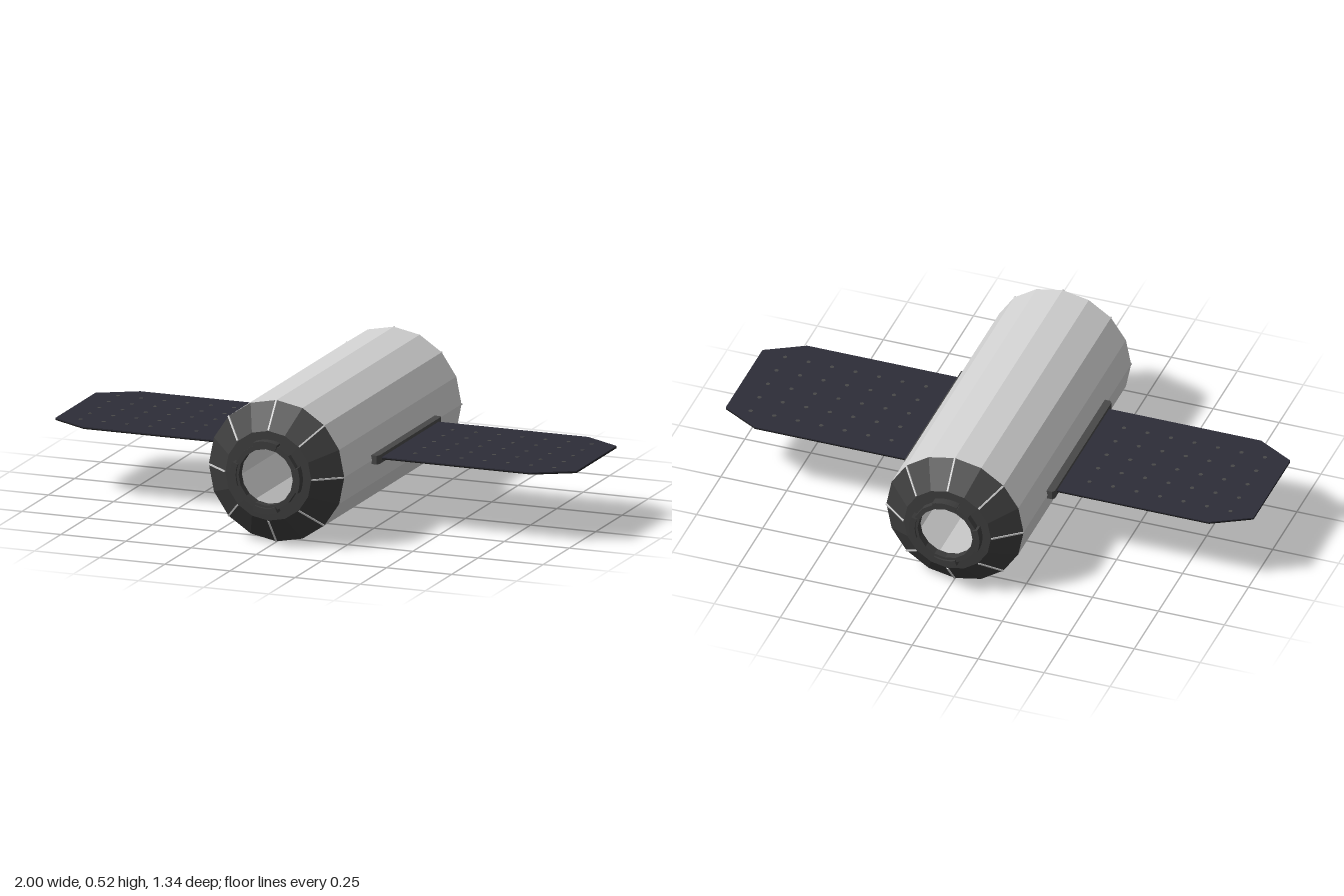
import * as THREE from 'three';

const flat = (name, color) => new THREE.MeshStandardMaterial({ name, color, flatShading: true, side: THREE.DoubleSide });

export function createModel() {
  const hullGrey = flat('hullGrey', 0xd2d2d2);
  const capGrey = flat('capGrey', 0x3c3c3c);
  const mountGrey = flat('mountGrey', 0x484848);
  const panelBlue = flat('panelBlue', 0x2d2d38);
  const panelBlack = flat('panelBlack', 0x161616);

  const CY = 0.262, SIDES = 16;
  const model = new THREE.Group();
  model.name = 'spaceModule';

  const add = (parent, name, geometry, material) => {
    const mesh = new THREE.Mesh(geometry, material);
    mesh.name = name;
    parent.add(mesh);
    return mesh;
  };
  // Profile of [radius, z] pairs revolved about the z axis
  const revolve = (profile) =>
    new THREE.LatheGeometry(profile.map(([r, z]) => new THREE.Vector2(r, z)), SIDES).rotateX(Math.PI / 2);

  // Hollow main hull
  add(model, 'hull', revolve([[0.26, -0.557], [0.26, 0.557]]), hullGrey).position.y = CY;

  // End caps, mirrored front and back
  for (const turn of [0, Math.PI]) {
    const end = new THREE.Group();
    end.name = turn ? 'rearEnd' : 'frontEnd';
    end.position.y = CY;
    end.rotation.y = turn;
    model.add(end);

    add(end, 'endCap', revolve([[0.26, 0.557], [0.165, 0.635], [0.104, 0.637]]), capGrey);
    add(end, 'dockingRing', revolve([[0.122, 0.63], [0.122, 0.66], [0.104, 0.66], [0.104, 0.63]]), capGrey);

    // Raised arcs around the docking ring
    for (let i = 0; i < 4; i++) {
      const a = i * Math.PI / 2, half = 0.36;
      const arc = new THREE.Shape();
      arc.absarc(0, 0, 0.133, a - half, a + half, false);
      arc.absarc(0, 0, 0.112, a + half, a - half, true);
      const geo = new THREE.ExtrudeGeometry(arc, { depth: 0.033, bevelEnabled: false, curveSegments: 4 });
      add(end, 'ringLatch', geo.translate(0, 0, 0.635), capGrey);
    }

    // Pale seams along every second ridge of the cone
    const slope = Math.atan2(0.078, -0.095);
    for (let i = 0; i < 8; i++) {
      const spoke = new THREE.Group();
      spoke.name = 'seam';
      spoke.rotation.z = i * Math.PI / 4;
      end.add(spoke);
      const strip = add(spoke, 'seamStrip', new THREE.BoxGeometry(0.121, 0.006, 0.007), hullGrey);
      strip.rotation.order = 'YXZ';
      strip.position.set(0.2125, 0, 0.596);
      strip.rotation.y = -slope;
    }
  }

  // Solar wings on both sides
  for (const s of [1, -1]) {
    const wing = new THREE.Group();
    wing.name = s > 0 ? 'leftWing' : 'rightWing';
    wing.position.set(0, CY + 0.002, -0.008);
    model.add(wing);

    // Mounting rail with chamfered ends
    const outline = (pts) => new THREE.Shape(pts.map(([x, z]) => new THREE.Vector2(s * x, z)));
    const plate = (shape, depth, top) =>
      new THREE.ExtrudeGeometry(shape, { depth, bevelEnabled: false }).rotateX(Math.PI / 2).translate(0, top, 0);
    const rail = outline([[0.24, -0.302], [0.278, -0.302], [0.285, -0.292], [0.285, 0.292], [0.278, 0.302], [0.24, 0.302]]);
    add(wing, 'wingRail', plate(rail, 0.032, 0.016), mountGrey);

    // Blue upper panel over a black backing
    const panel = outline([[0.26, -0.27], [0.86, -0.27], [1, -0.19], [1, 0.19], [0.86, 0.27], [0.26, 0.27]]);
    add(wing, 'solarPanel', plate(panel, 0.004, 0.004), panelBlue);
    add(wing, 'panelBacking', plate(panel, 0.004, 0), panelBlack);

    // Grid of small studs on the panel
    for (let i = 0; i < 7; i++) {
      for (let j = 0; j < 5; j++) {
        const dot = add(wing, 'panelStud', new THREE.CylinderGeometry(0.008, 0.008, 0.001, 8), mountGrey);
        dot.position.set(s * (0.375 + i * 0.089), 0.0042, -0.18 + j * 0.089);
      }
    }
  }
  return model;
}
